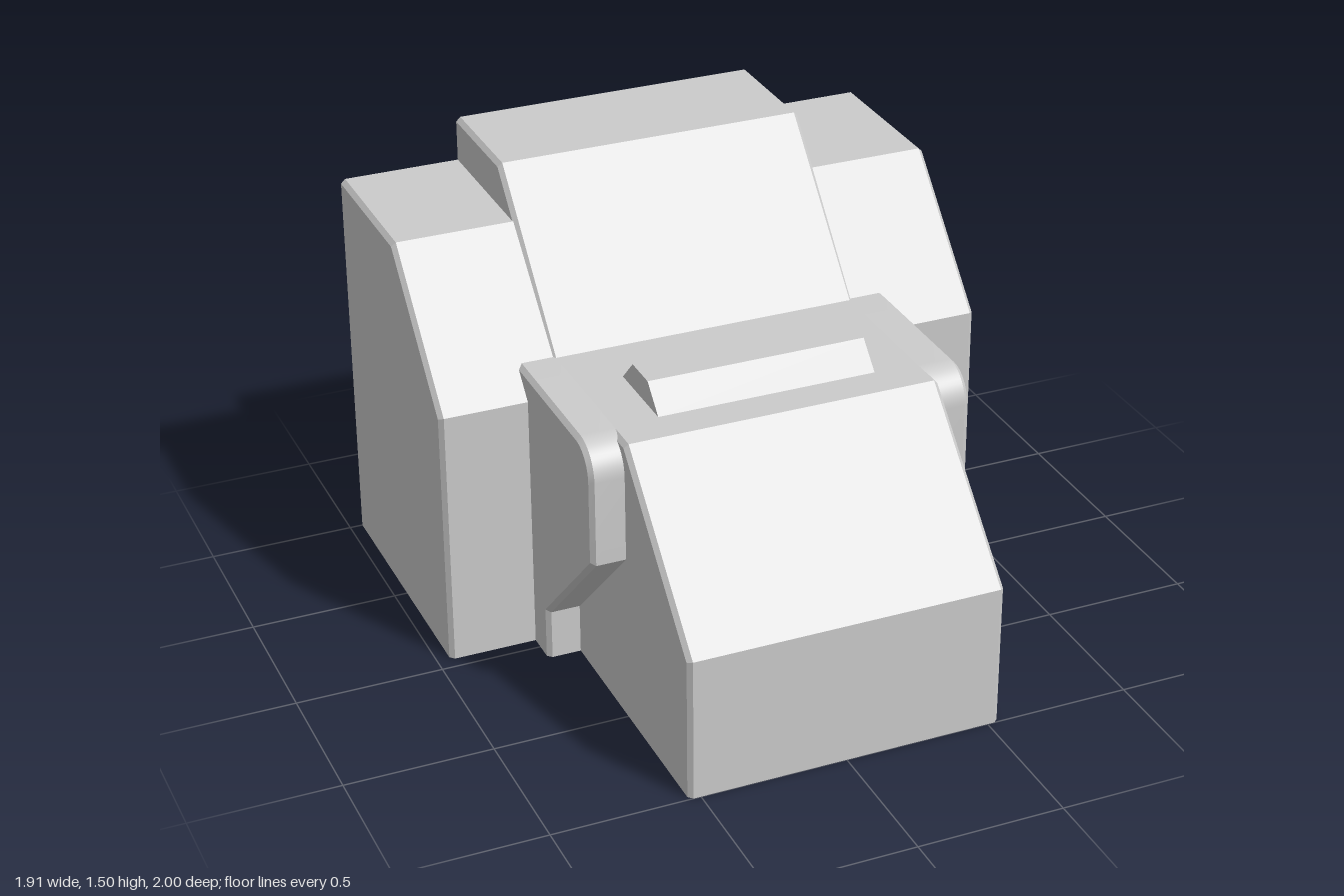
import * as THREE from 'three';
import { toCreasedNormals } from 'three/addons/utils/BufferGeometryUtils.js';

const BEVEL = 0.015;
const material = new THREE.MeshStandardMaterial({ color: 0xcccccc });

// Outline in (z, y) from corner points
const outline = (points) => new THREE.Shape(points.map(([z, y]) => new THREE.Vector2(z, y)));

// Extrude a (z, y) outline from x0 to x1 with chamfered ends.
// Floor and back edges overshoot by the chamfer and are clamped flat, so they stay sharp.
function slab(name, shape, x0, x1, bevel = BEVEL) {
  const geometry = new THREE.ExtrudeGeometry(shape, {
    depth: x1 - x0 - 2 * bevel,
    bevelEnabled: bevel > 0,
    bevelSize: bevel,
    bevelThickness: bevel,
    bevelOffset: -bevel,
    bevelSegments: 1,
    curveSegments: 6,
  });
  geometry.rotateY(-Math.PI / 2);
  geometry.translate(x1 - bevel, 0, 0);
  const p = geometry.attributes.position;
  for (let i = 0; i < p.count; i++) {
    p.setY(i, Math.max(p.getY(i), 0));
    p.setZ(i, Math.max(p.getZ(i), -1));
  }
  const mesh = new THREE.Mesh(toCreasedNormals(geometry, 0.4), material);
  mesh.name = name;
  return mesh;
}

export function createModel() {
  const group = new THREE.Group();
  group.name = 'steppedHousing';
  const floor = -BEVEL, back = -1 - BEVEL;

  // Central body: sloped nose, flat deck, sloped rear tower
  const body = outline([
    [1, floor], [1, 0.5], [0.5, 1], [-0.125, 1], [-0.585, 1.5], [back, 1.5], [back, floor],
  ]);
  group.add(slab('centralBody', body, -0.54, 0.54));

  // Raised ridge across the deck
  const ridge = outline([[0.375, 0.98], [0.375, 1], [0.29, 1.085], [0.165, 1.085], [0.08, 1], [0.08, 0.98]]);
  group.add(slab('deckRidge', ridge, -0.375, 0.375, 0));

  // Rear side block
  const wing = outline([
    [-0.045, floor], [-0.045, 0.905], [-0.46, 1.345], [back, 1.345], [back, floor],
  ]);

  // Thin side panel with a rounded upper front corner and undercut
  const panel = new THREE.Shape();
  panel.moveTo(0.075, floor);
  panel.lineTo(0.075, 0.175);
  panel.lineTo(0.5, 0.59);
  panel.lineTo(0.5, 0.885);
  panel.absarc(0.385, 0.885, 0.115, 0, Math.PI / 2, false);
  panel.lineTo(-0.15, 1);
  panel.lineTo(-0.15, floor);
  panel.closePath();

  for (const [side, sign] of [['left', 1], ['right', -1]]) {
    const span = (a, b) => (sign > 0 ? [a, b] : [-b, -a]);
    group.add(slab(side + 'RearBlock', wing, ...span(0.51, 0.955)));
    group.add(slab(side + 'SidePanel', panel, ...span(0.51, 0.655)));
  }
  return group;
}
